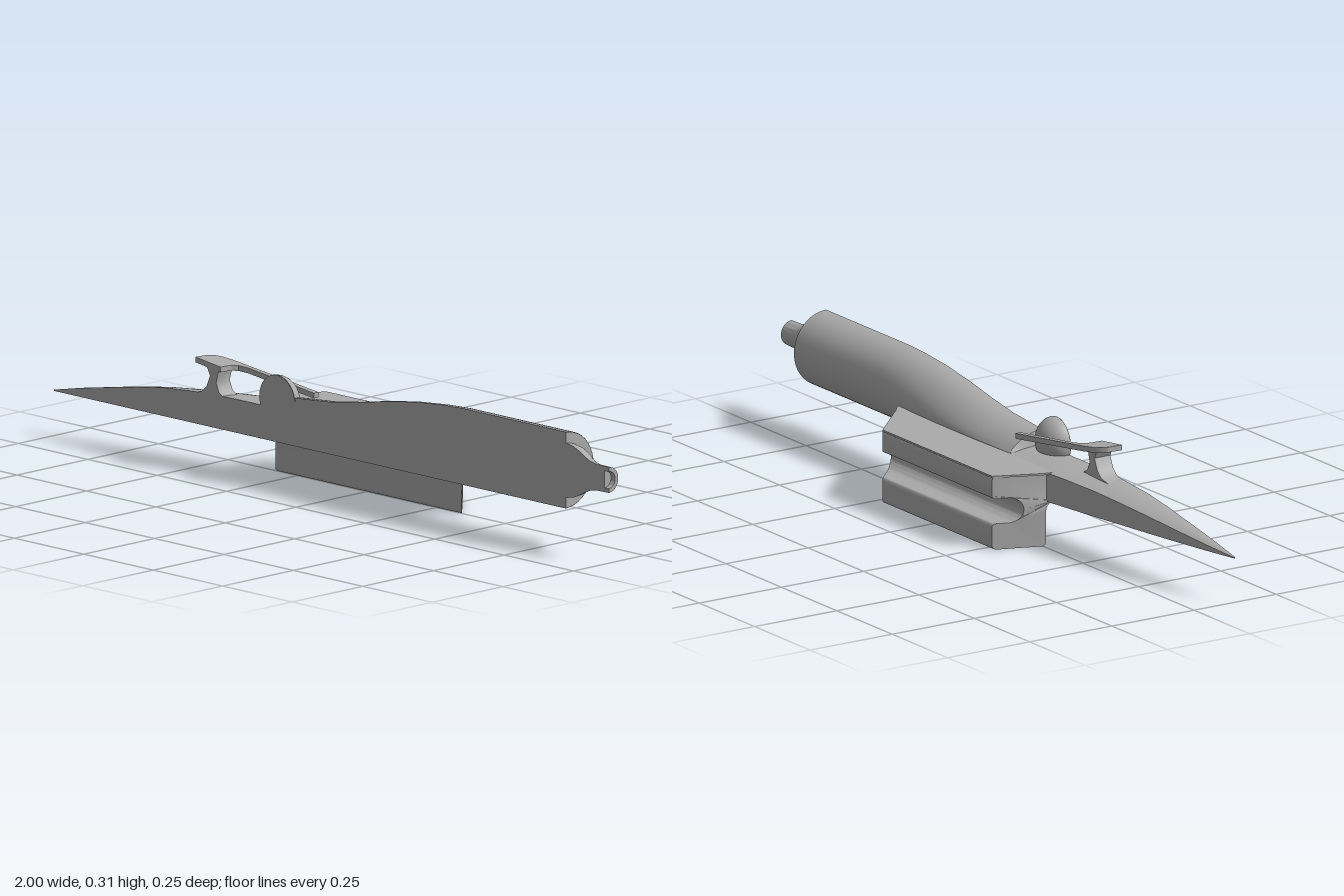
import * as THREE from 'three';
import { toCreasedNormals } from 'three/addons/utils/BufferGeometryUtils.js';

const CUT = 0.125; // flat plane where the half craft ends
const BOTTOM = 0.118;

// x, top height, half width, shoulder height, roundness of the section
const SECTIONS = [
  [-1, 0.121, 0.003, 0.12, 0], [-0.9, 0.142, 0.024, 0.134, 0], [-0.8, 0.16, 0.042, 0.148, 0],
  [-0.7, 0.178, 0.059, 0.162, 0], [-0.6, 0.192, 0.074, 0.174, 0], [-0.5, 0.2, 0.09, 0.185, 0],
  [-0.4, 0.204, 0.104, 0.191, 0], [-0.33, 0.205, 0.114, 0.194, 0], [-0.25, 0.205, 0.104, 0.195, 0.05],
  [-0.137, 0.206, 0.1, 0.196, 0.1], [-0.13, 0.243, 0.1, 0.196, 0.2], [0, 0.254, 0.104, 0.198, 0.3],
  [0.1, 0.27, 0.105, 0.201, 0.4], [0.2, 0.289, 0.105, 0.206, 0.5], [0.3, 0.304, 0.103, 0.212, 0.65],
  [0.4, 0.313, 0.099, 0.217, 0.9], [0.47, 0.316, 0.098, 0.217, 1], [0.845, 0.316, 0.098, 0.217, 1],
];

const NOZZLE = [
  [0.098, 0.845], [0.07, 0.845], [0.07, 0.85], [0.067, 0.87], [0.059, 0.89], [0.048, 0.91],
  [0.039, 0.93], [0.034, 0.955], [0.033, 1], [0.022, 1], [0.022, 0.985], [0, 0.985],
];

// Half section swept from the top, round the outside, to the bottom
function sectionPoints([x, top, w, e, k]) {
  const pts = [];
  const n = 10;
  for (let i = 0; i <= n; i++) {
    const a = (i / n) * Math.PI / 2;
    pts.push([x, e + (top - e) * Math.pow(Math.max(Math.cos(a), 0), 2 - k), CUT - w * Math.sin(a)]);
  }
  for (let i = 1; i <= n; i++) {
    const a = (i / n) * Math.PI / 2;
    const c = Math.cos(a), s = Math.sin(a);
    const f = THREE.MathUtils.lerp(1 / Math.max(c, s), 1, k);
    pts.push([x, e - (e - BOTTOM) * s * f, CUT - w * c * f]);
  }
  return pts;
}

function loft(rows) {
  const m = rows[0].length;
  const index = [];
  for (let i = 0; i < rows.length - 1; i++) {
    for (let j = 0; j < m - 1; j++) {
      const a = i * m + j, b = a + m;
      index.push(a, b, b + 1, a, b + 1, a + 1);
    }
  }
  const g = new THREE.BufferGeometry();
  g.setAttribute('position', new THREE.Float32BufferAttribute(rows.flat(2), 3));
  g.setIndex(index);
  return toCreasedNormals(g, 0.6);
}

const shapeOf = (pts) => new THREE.Shape(pts.map(([x, y]) => new THREE.Vector2(x, y)));

const extrude = (shape, depth) =>
  new THREE.ExtrudeGeometry(shape, { depth, bevelEnabled: false, curveSegments: 8 });

// Plan outline given as x and distance from the cut plane
const planPlate = (pts, depth) =>
  extrude(shapeOf(pts), depth).rotateX(-Math.PI / 2).translate(0, 0, CUT);

export function createModel() {
  const group = new THREE.Group();
  const grey = new THREE.MeshStandardMaterial({ color: 0xaaaaaa, side: THREE.DoubleSide });
  grey.name = 'hull grey';
  const add = (name, geometry) => {
    const mesh = new THREE.Mesh(geometry, grey);
    mesh.name = name;
    group.add(mesh);
    return mesh;
  };

  // Fuselage skin with pointed nose and round engine housing
  add('fuselage', loft(SECTIONS.map(sectionPoints)));

  // Engine rim and nozzle
  const profile = NOZZLE.map(([r, x]) => new THREE.Vector2(r, x));
  const nozzle = new THREE.LatheGeometry(profile, 32, Math.PI / 2, Math.PI);
  nozzle.rotateZ(-Math.PI / 2).translate(0, 0.217, CUT);
  add('engineNozzle', toCreasedNormals(nozzle, 0.6));

  // Flat face closing the fuselage and nozzle
  const outline = [
    ...SECTIONS.map(([x, top]) => [x, top]),
    ...NOZZLE.slice(1).map(([r, x]) => [x, 0.217 + r]),
    ...NOZZLE.slice(1, -1).reverse().map(([r, x]) => [x, 0.217 - r]),
    [0.845, BOTTOM], [-1, BOTTOM],
  ];
  add('centreFace', new THREE.ShapeGeometry(shapeOf(outline.reverse())).translate(0, 0, CUT));

  // Side pod: C-shaped section with tapered ends
  const c = new THREE.Shape();
  c.moveTo(0.005, 0.002);
  c.lineTo(0.113, 0.002);
  c.quadraticCurveTo(0.125, 0.002, 0.125, 0.014);
  c.lineTo(0.125, 0.06);
  c.quadraticCurveTo(0.125, 0.07, 0.115, 0.07);
  c.lineTo(0.082, 0.07);
  c.bezierCurveTo(0.062, 0.072, 0.047, 0.085, 0.047, 0.102);
  c.bezierCurveTo(0.047, 0.12, 0.062, 0.134, 0.082, 0.135);
  c.lineTo(0.115, 0.135);
  c.quadraticCurveTo(0.125, 0.135, 0.125, 0.145);
  c.lineTo(0.125, 0.182);
  c.quadraticCurveTo(0.125, 0.193, 0.114, 0.193);
  c.lineTo(-0.04, 0.193);
  c.lineTo(-0.04, 0.119);
  c.quadraticCurveTo(-0.007, 0.118, -0.007, 0.09);
  c.lineTo(-0.007, 0.014);
  c.quadraticCurveTo(-0.007, 0.002, 0.005, 0.002);
  const pod = extrude(c, 1).rotateY(Math.PI / 2);
  const p = pod.attributes.position;
  for (let i = 0; i < p.count; i++) {
    const t = THREE.MathUtils.clamp(-p.getZ(i) / 0.125, -0.05, 1);
    const front = -0.32 + 0.046 * t, back = 0.343 - 0.123 * t;
    p.setX(i, THREE.MathUtils.lerp(front, back, p.getX(i)));
  }
  add('sidePod', toCreasedNormals(pod, 0.6));

  // Thin deck plate over the pod
  add('podDeck', planPlate([
    [-0.335, 0.075], [-0.33, 0.118], [-0.32, 0.145], [-0.275, 0.25],
    [0.22, 0.25], [0.345, 0.125], [0.375, 0.1], [0.3, 0.075],
  ], 0.005).translate(0, 0.191, 0));

  // Sloping cockpit rail wrapping round the seat opening
  const rail = planPlate([
    [-0.49, 0], [-0.486, 0.04], [-0.475, 0.055], [-0.455, 0.065], [-0.42, 0.07], [-0.13, 0.082],
    [-0.13, 0.066], [-0.36, 0.058], [-0.385, 0.05], [-0.396, 0.035], [-0.4, 0],
  ], 0.014);
  const r = rail.attributes.position;
  for (let i = 0; i < r.count; i++) r.setY(i, r.getY(i) + 0.275 - 0.125 * (r.getX(i) + 0.48));
  add('cockpitRail', toCreasedNormals(rail, 0.5));

  // Flared post carrying the rail
  const post = extrude(shapeOf([
    [-0.5, 0.197], [-0.385, 0.2], [-0.405, 0.212], [-0.415, 0.235], [-0.405, 0.272],
    [-0.45, 0.275], [-0.437, 0.25], [-0.45, 0.22], [-0.468, 0.204],
  ]), 0.048).translate(0, 0, CUT - 0.048);
  add('railPost', toCreasedNormals(post, 0.7));

  // Dome behind the cockpit with its flat face
  const dome = new THREE.SphereGeometry(0.064, 24, 20, Math.PI, Math.PI);
  dome.scale(1, 1, 0.8).translate(-0.195, 0.228, CUT);
  add('dome', dome);
  add('domeFace', new THREE.CircleGeometry(0.064, 32).translate(-0.195, 0.228, CUT + 0.0005));

  return group;
}
